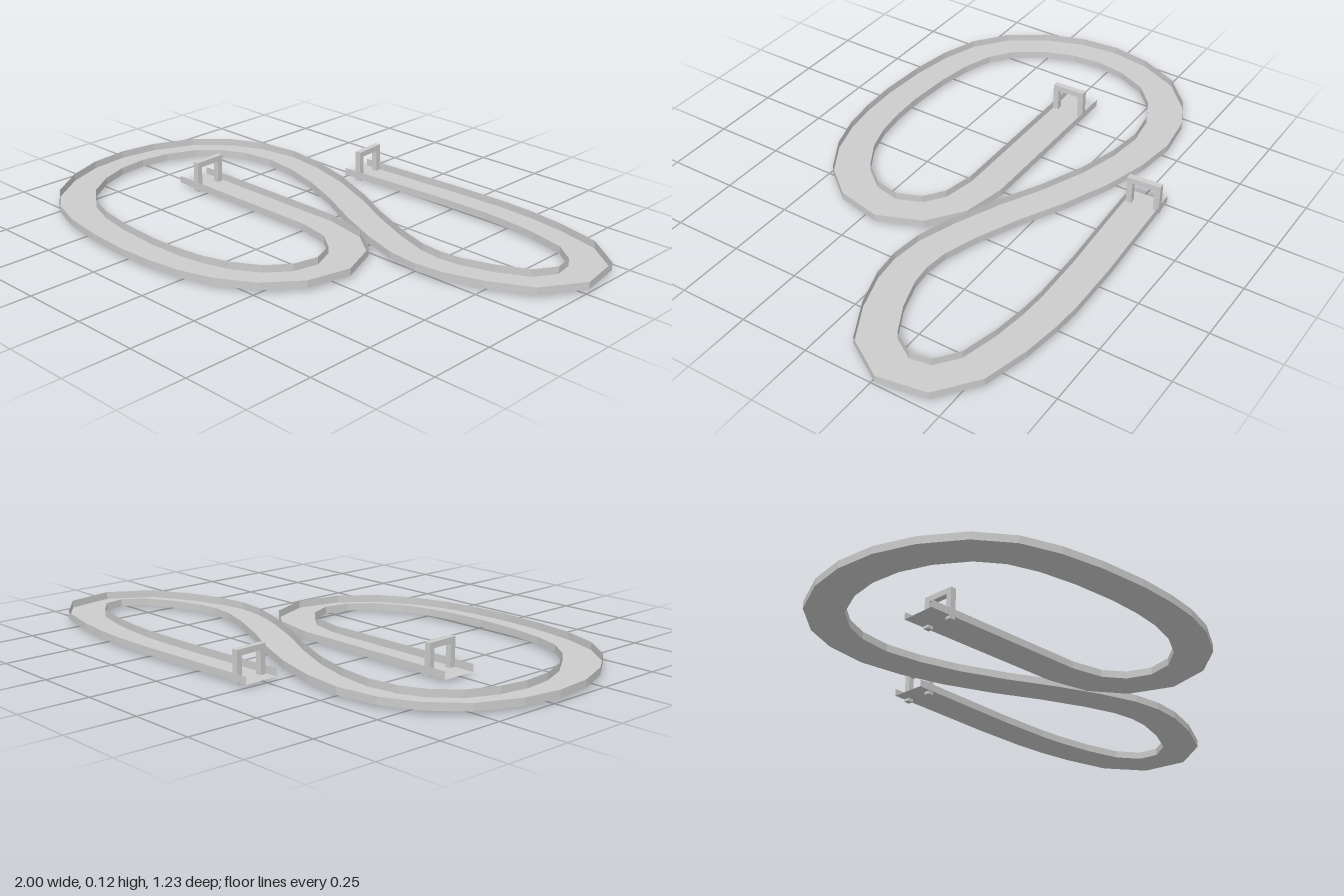
import * as THREE from 'three';

const material = new THREE.MeshStandardMaterial({ color: 0xcccccc, flatShading: true, side: THREE.DoubleSide });

// Centre line of the track as [x, z]
const path = [
  [-0.25, -0.523], [0.013, -0.536], [0.195, -0.546], [0.406, -0.549], [0.511, -0.543], [0.647, -0.525],
  [0.8, -0.487], [0.909, -0.404], [0.931, -0.279], [0.859, -0.164], [0.73, -0.097], [0.604, -0.057],
  [0.511, -0.047], [0.409, -0.058], [0.273, -0.102], [0.112, -0.171], [-0.048, -0.252], [-0.219, -0.323],
  [-0.374, -0.366], [-0.519, -0.384], [-0.655, -0.365], [-0.76, -0.316], [-0.856, -0.225], [-0.914, -0.094],
  [-0.933, 0.032], [-0.92, 0.16], [-0.874, 0.283], [-0.794, 0.401], [-0.695, 0.476], [-0.575, 0.518],
  [-0.433, 0.542], [-0.265, 0.553], [-0.134, 0.548], [-0.019, 0.532], [0.094, 0.497], [0.209, 0.43],
  [0.291, 0.329], [0.319, 0.2], [0.269, 0.077], [0.171, 0.005], [0.029, -0.023], [-0.634, -0.024],
].map(([x, z]) => new THREE.Vector2(x, z));

// Sweep an open channel (thin floor and two thin walls) along the path with mitred corners
function sweepChannel(points, width, floor, rim) {
  const last = points.length - 1;
  const heading = (i) => points[i + 1].clone().sub(points[i]).normalize();
  const sections = points.map((p, i) => {
    const before = heading(Math.max(i - 1, 0));
    const after = heading(Math.min(i, last - 1));
    const d = before.clone().add(after).normalize();
    const half = width / 2 / d.dot(after);
    const nx = -d.y * half, nz = d.x * half;
    return [
      [p.x - nx, rim, p.y - nz], [p.x - nx, floor, p.y - nz],
      [p.x + nx, floor, p.y + nz], [p.x + nx, rim, p.y + nz],
    ];
  });
  const positions = [];
  for (let i = 0; i < last; i++) {
    for (let j = 0; j < 3; j++) {
      const a = sections[i][j], b = sections[i][j + 1];
      const c = sections[i + 1][j + 1], d = sections[i + 1][j];
      positions.push(...a, ...b, ...c, ...a, ...c, ...d);
    }
  }
  const geometry = new THREE.BufferGeometry();
  geometry.setAttribute('position', new THREE.Float32BufferAttribute(positions, 3));
  geometry.computeVertexNormals();
  return geometry;
}

// Square arch standing across the track
function makeGate(name, x, z, turn) {
  const span = 0.124, height = 0.115, bar = 0.021, depth = 0.022;
  const gate = new THREE.Group();
  gate.name = name;
  const addBar = (part, h, w, y, offset) => {
    const mesh = new THREE.Mesh(new THREE.BoxGeometry(depth, h, w), material);
    mesh.name = part;
    mesh.position.set(0, y, offset);
    gate.add(mesh);
  };
  for (const side of [-1, 1]) {
    addBar(side < 0 ? 'backPost' : 'frontPost', height - bar, bar, (height - bar) / 2, side * (span - bar) / 2);
  }
  addBar('crossbar', bar, span, height - bar / 2, 0);
  gate.position.set(x, 0, z);
  gate.rotation.y = turn;
  return gate;
}

export function createModel() {
  const model = new THREE.Group();
  model.name = 'windingTrack';

  const track = new THREE.Mesh(sweepChannel(path, 0.131, 0.011, 0.038), material);
  track.name = 'track';
  model.add(track);

  model.add(makeGate('startGate', -0.194, -0.527, 0.08));
  model.add(makeGate('finishGate', -0.545, -0.02, 0.04));
  return model;
}
